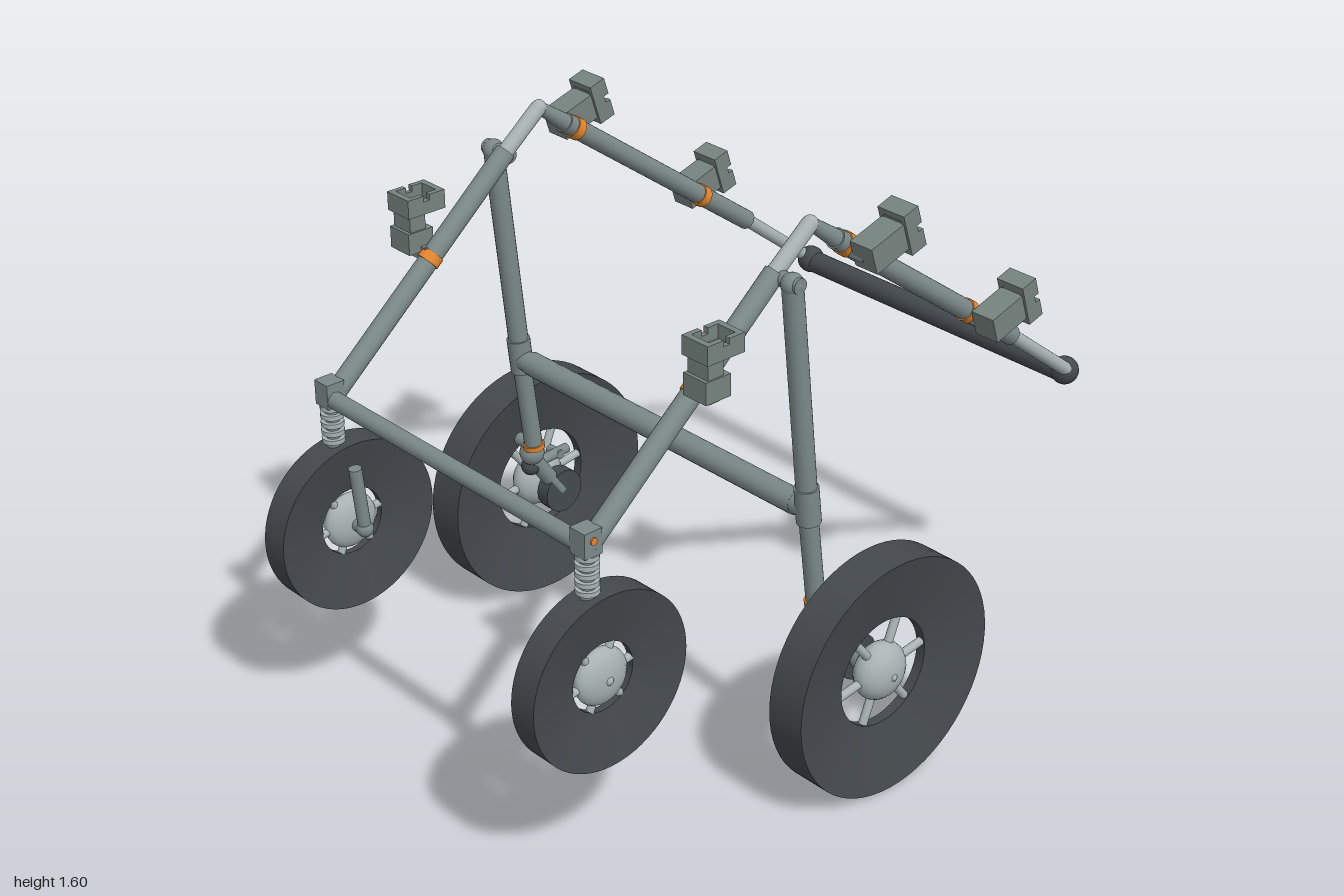
import * as THREE from 'three';
import { toCreasedNormals } from 'three/addons/utils/BufferGeometryUtils.js';

const mat = (name, color) => new THREE.MeshStandardMaterial({ name, color });

export function createModel() {
  const root = new THREE.Group();
  root.name = 'chassis';
  const steel = mat('steelGrey', 0x7c8989);
  const light = mat('lightMetal', 0xa9b3b3);
  const dark = mat('darkMetal', 0x43494e);
  const rubber = mat('wheelDark', 0x44494d);
  const box = mat('cameraGrey', 0x76837f);
  const orange = mat('orange', 0xe5862f);
  const Z = new THREE.Vector3(0, 0, 1);
  const Y = new THREE.Vector3(0, 1, 0);

  const add = (parent, name, geo, m, p = [0, 0, 0]) => {
    const mesh = new THREE.Mesh(geo, m);
    mesh.name = name;
    mesh.position.set(...p);
    parent.add(mesh);
    return mesh;
  };
  // Tube between two points
  const rod = (parent, name, a, b, r, m, r2 = r) => {
    const A = new THREE.Vector3(...a), B = new THREE.Vector3(...b);
    const d = B.clone().sub(A);
    const mesh = add(parent, name, new THREE.CylinderGeometry(r2, r, d.length(), 20), m);
    mesh.position.copy(A).add(B).multiplyScalar(0.5);
    mesh.quaternion.setFromUnitVectors(Y, d.normalize());
    return mesh;
  };
  const ball = (parent, name, p, r, m) => add(parent, name, new THREE.SphereGeometry(r, 20, 14), m, p);
  const lerp = (a, b, t) => a.map((v, i) => v + (b[i] - v) * t);

  // Dished wheel, wide at the tread and thin at the central opening
  function wheel(name, p, R, r, half, hubR, hubZ, spokes, spokeR) {
    const g = new THREE.Group();
    g.name = name;
    g.position.set(...p);
    const inner = half * 0.25;
    const pts = [[r, -inner], [R, -half], [R, half], [r, inner], [r, -inner]].map(q => new THREE.Vector2(...q));
    const tyre = new THREE.LatheGeometry(pts, 64).rotateX(Math.PI / 2);
    add(g, 'tyre', toCreasedNormals(tyre, 0.5), rubber);
    ball(g, 'hub', [0, 0, 0], hubR, light).scale.z = hubZ / hubR;
    const cap = ball(g, 'hubCap', [0, 0, 0], 0.022, light);
    cap.scale.z = (hubZ + 0.006) / 0.022;
    for (let i = 0; i < spokes; i++) {
      const a = (i / spokes) * Math.PI * 2 + 0.15;
      rod(g, 'spoke', [0, 0, 0], [Math.cos(a) * (r + 0.012), Math.sin(a) * (r + 0.012), 0], spokeR, light);
    }
    root.add(g);
  }

  // Camera unit pointing along its local +x, with an open square head
  function camera(name, x, y, z, angle, neck) {
    const g = new THREE.Group();
    g.name = name;
    g.position.set(x, y, z);
    g.rotation.z = angle;
    const frame = new THREE.Shape();
    frame.moveTo(-0.045, -0.06).lineTo(0.045, -0.06).lineTo(0.045, 0.06).lineTo(-0.045, 0.06);
    const hole = new THREE.Path();
    hole.moveTo(-0.03, -0.042).lineTo(-0.03, 0.042).lineTo(0.03, 0.042).lineTo(0.03, -0.042);
    frame.holes.push(hole);
    const head = new THREE.ExtrudeGeometry(frame, { depth: 0.036, bevelEnabled: false }).rotateY(Math.PI / 2);
    add(g, 'cameraHead', head, box, [-0.025, 0, 0]);
    add(g, 'cameraBack', new THREE.BoxGeometry(0.012, 0.1, 0.08), box, [-0.017, 0, 0]);
    // Raised lips leave a notch at mid height
    for (const s of [-1, 1]) {
      add(g, 'cameraLip', new THREE.BoxGeometry(0.016, 0.018, 0.09), box, [0.019, s * 0.051, 0]);
      for (const t of [-1, 1])
        add(g, 'cameraLipSide', new THREE.BoxGeometry(0.016, 0.034, 0.015), box, [0.019, s * 0.027, t * 0.0375]);
    }
    if (neck) {
      add(g, 'cameraNeck', new THREE.BoxGeometry(0.06, 0.05, 0.07), box, [-0.05, 0.025, 0]);
      add(g, 'cameraFoot', new THREE.BoxGeometry(0.06, 0.08, 0.08), box, [-0.1, 0.02, 0]);
    } else {
      add(g, 'cameraBody', new THREE.BoxGeometry(0.12, 0.075, 0.075), box, [-0.08, -0.004, 0]);
    }
    root.add(g);
  }

  for (const s of [1, -1]) {
    const z = 0.515 * s, zl = 0.572 * s;
    const low = [-0.785, 0.965, z], knee = [-0.185, 1.488, z], apex = [-0.068, 1.583, z];
    const sleeve = [0.02, 1.517, z], step = [0.7, 1.03, z], tip = [0.955, 0.835, z];

    // Sloping side rails
    rod(root, 'rearRail', low, knee, 0.028, steel);
    rod(root, 'railLink', knee, apex, 0.022, light);
    ball(root, 'apexJoint', apex, 0.021, light);
    rod(root, 'apexLink', apex, sleeve, 0.017, steel, 0.024);
    rod(root, 'frontRail', sleeve, step, 0.028, steel);
    rod(root, 'railExtension', step, tip, 0.019, light);
    ball(root, 'tipJoint', [0.955, 0.832, 0.5 * s], 0.04, dark);

    // Orange clamps around the rails
    const clamp = (a, b, t) => rod(root, 'clamp', lerp(a, b, t), lerp(a, b, t + 0.034), 0.0315, orange);
    clamp(low, knee, 0.545);
    clamp(sleeve, step, 0.035);
    clamp(sleeve, step, 0.715);

    // Cameras with their brackets
    camera('upperCamera', 0.178, 1.527, 0.588 * s, 0.31, false);
    camera('lowerCamera', 0.64, 1.188, 0.588 * s, 0.31, false);
    camera('rearCamera', -0.44, 1.404, 0.575 * s, Math.PI / 2, true);
    for (const [x, y] of [[0.065, 1.485], [0.53, 1.15], [-0.445, 1.27]])
      add(root, 'cameraBracket', new THREE.BoxGeometry(0.035, 0.04, 0.07), steel, [x, y, 0.548 * s]);

    // Long leg in two lengths with a collar
    const legTop = [-0.18, 1.475, zl], legMid = [-0.11, 0.83, zl], legEnd = [-0.072, 0.53, zl];
    rod(root, 'upperLeg', legTop, legMid, 0.028, steel);
    rod(root, 'lowerLeg', legMid, legEnd, 0.026, steel);
    rod(root, 'legCollar', lerp(legMid, legTop, 0.1), lerp(legMid, legEnd, 0.13), 0.033, steel);
    ball(root, 'legJoint', legTop, 0.03, steel);
    rod(root, 'legPivot', [-0.18, 1.478, 0.5 * s], [-0.18, 1.478, 0.6 * s], 0.021, steel);
    rod(root, 'crossTubeMount', [-0.11, 0.83, 0.5 * s], [-0.11, 0.83, 0.58 * s], 0.03, steel);

    // Suspension and motor behind the large wheel
    rod(root, 'legClamp', [-0.074, 0.548, zl], [-0.072, 0.533, zl], 0.031, orange);
    ball(root, 'ankle', [-0.07, 0.51, 0.585 * s], 0.036, steel);
    rod(root, 'anklePin', [-0.065, 0.53, 0.57 * s], [-0.065, 0.53, 0.645 * s], 0.02, steel);
    rod(root, 'trailingArm', [-0.065, 0.49, 0.6 * s], [0.04, 0.345, 0.6 * s], 0.024, steel);
    rod(root, 'damper', [-0.06, 0.455, 0.605 * s], [0.075, 0.465, 0.605 * s], 0.015, steel);
    rod(root, 'damperPin', [0.04, 0.46, 0.59 * s], [0.04, 0.46, 0.64 * s], 0.014, steel);
    ball(root, 'damperJoint', [-0.06, 0.455, 0.605 * s], 0.028, dark);
    rod(root, 'wheelMotor', [0.04, 0.345, 0.578 * s], [0.04, 0.345, 0.622 * s], 0.065, dark);
    rod(root, 'axle', [0.04, 0.345, 0.62 * s], [0.04, 0.345, 0.7 * s], 0.03, steel);
    wheel('largeWheel', [0.04, 0.343, 0.7 * s], 0.342, 0.155, 0.058, 0.083, 0.055, 6, 0.012);

    // Small wheel with spring and inner strut
    add(root, 'springBracket', new THREE.BoxGeometry(0.055, 0.07, 0.055), steel, [-0.792, 0.982, z]);
    add(root, 'bracketMark', new THREE.CylinderGeometry(0.01, 0.01, 0.006, 16), orange, [-0.792, 0.99, 0.5435 * s])
      .quaternion.setFromUnitVectors(Y, Z);
    rod(root, 'springCore', [-0.79, 0.815, z], [-0.79, 0.96, z], 0.02, steel);
    for (let i = 0; i < 5; i++)
      rod(root, 'springRing', [-0.79, 0.838 + i * 0.024, z], [-0.79, 0.851 + i * 0.024, z], 0.031, light);
    const strutTop = [-0.775, 0.775, 0.448 * s], strutEnd = [-0.755, 0.585, 0.448 * s];
    rod(root, 'wheelStrut', strutTop, strutEnd, 0.018, steel);
    ball(root, 'strutJoint', strutEnd, 0.024, steel);
    rod(root, 'smallAxle', strutEnd, [-0.755, 0.585, z], 0.02, steel);
    wheel('smallWheel', [-0.755, 0.585, z], 0.245, 0.096, 0.042, 0.08, 0.038, 6, 0.011);
  }

  // Cross tubes joining both sides
  rod(root, 'rearCrossTube', [-0.795, 0.968, -0.5], [-0.795, 0.968, 0.5], 0.024, steel);
  rod(root, 'middleCrossTube', [-0.107, 0.828, -0.53], [-0.107, 0.828, 0.53], 0.034, steel);
  rod(root, 'frontCrossTube', [0.955, 0.828, -0.5], [0.955, 0.828, 0.5], 0.032, dark);
  return root;
}
